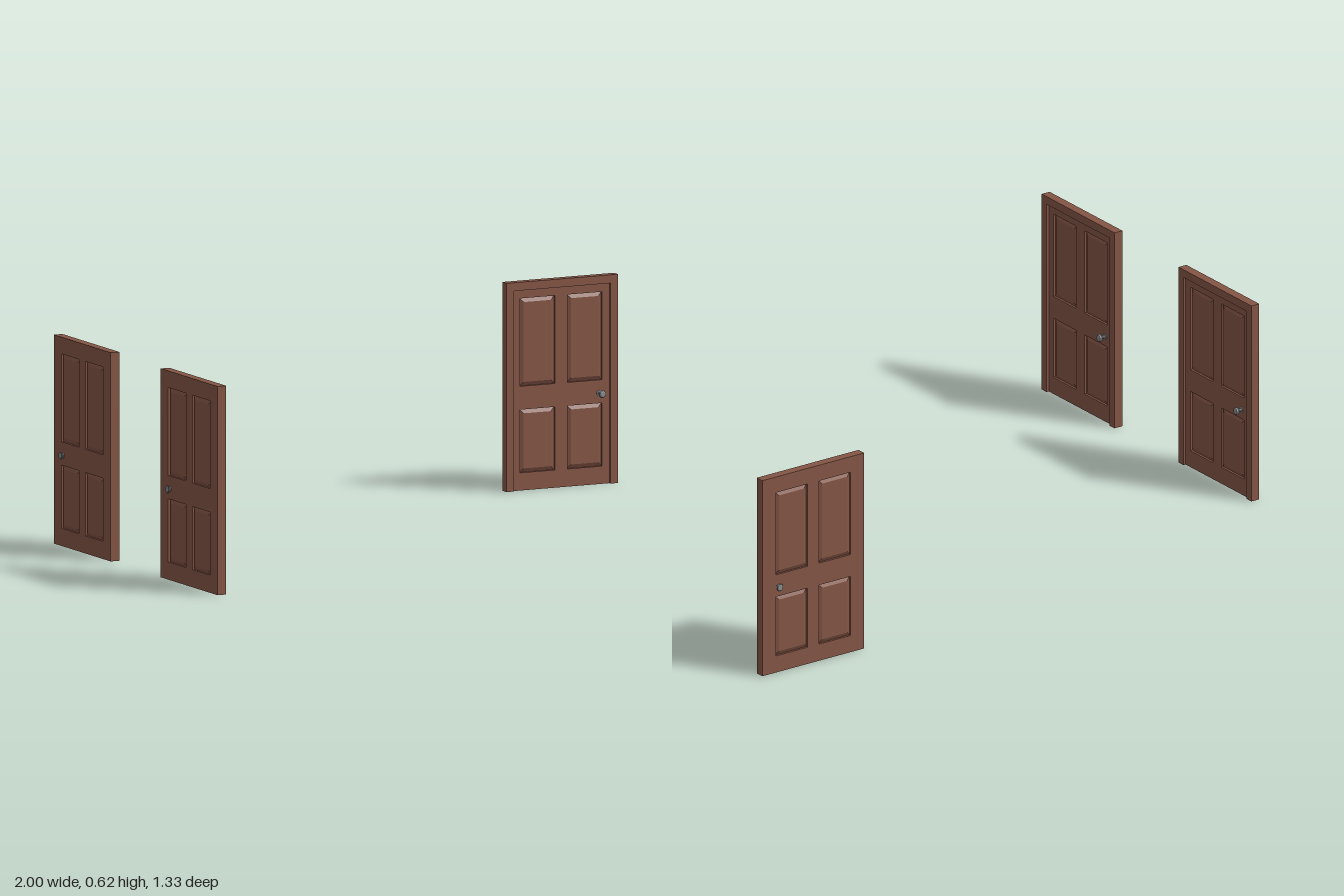
import * as THREE from 'three';

const wood = new THREE.MeshStandardMaterial({ color: 0x855646 });
wood.name = 'brown wood';
const metal = new THREE.MeshStandardMaterial({ color: 0x8a8f90, flatShading: true });
metal.name = 'grey metal';

// Door proportions, measured from the middle of the base
const W = 0.37, H = 0.625, T = 0.0285, RIM = 0.025;
const BACK = -T / 2, FRONT = T / 2;
const LEAF_FRONT = FRONT - 0.008;
const LEAF_T = LEAF_FRONT - BACK;

// Panel openings: x0, x1, y0, y1
const openings = [];
for (const [x0, x1] of [[-0.136, -0.021], [0.021, 0.136]]) {
  for (const [y0, y1] of [[0.053, 0.242], [0.312, 0.575]]) openings.push([x0, x1, y0, y1]);
}

function rect(Type, x0, x1, y0, y1) {
  return new Type([[x0, y0], [x1, y0], [x1, y1], [x0, y1]].map(([x, y]) => new THREE.Vector2(x, y)));
}

function add(group, name, geometry, material) {
  const mesh = new THREE.Mesh(geometry, material);
  mesh.name = name;
  group.add(mesh);
  return mesh;
}

// Turned knob pointing along +z, starting on the leaf surface
function knobGeometry(length) {
  const profile = [
    [0, 0], [0.009, 0], [0.009, 0.002], [0.005, 0.003], [0.005, length * 0.5],
    [0.01, length * 0.6], [0.012, length * 0.75], [0.01, length * 0.95], [0.007, length], [0, length],
  ].map(([r, y]) => new THREE.Vector2(r, y));
  return new THREE.LatheGeometry(profile, 10).rotateX(Math.PI / 2);
}

function createDoor(name) {
  const door = new THREE.Group();
  door.name = name;

  // Surround on three sides, open at the floor
  const surround = new THREE.Shape([
    [-W / 2, 0], [-W / 2 + RIM, 0], [-W / 2 + RIM, H - RIM], [W / 2 - RIM, H - RIM],
    [W / 2 - RIM, 0], [W / 2, 0], [W / 2, H], [-W / 2, H],
  ].map(([x, y]) => new THREE.Vector2(x, y)));
  const frameGeometry = new THREE.ExtrudeGeometry(surround, { depth: T, bevelEnabled: false });
  add(door, 'doorFrame', frameGeometry.translate(0, 0, BACK), wood);

  // Leaf with four openings, flush with the frame at the back
  const leaf = rect(THREE.Shape, -W / 2 + RIM, W / 2 - RIM, 0, H - RIM);
  for (const o of openings) leaf.holes.push(rect(THREE.Path, ...o));
  const leafGeometry = new THREE.ExtrudeGeometry(leaf, { depth: LEAF_T, bevelEnabled: false });
  add(door, 'doorLeaf', leafGeometry.translate(0, 0, BACK), wood);

  // Raised panels, bevelled on both faces
  const slope = 0.012, rise = 0.006, sink = 0.001;
  for (const [x0, x1, y0, y1] of openings) {
    const face = rect(THREE.Shape, x0 + slope, x1 - slope, y0 + slope, y1 - slope);
    const panel = new THREE.ExtrudeGeometry(face, {
      depth: LEAF_T - 2 * (rise + sink), bevelThickness: rise, bevelSize: slope, bevelSegments: 1,
    });
    add(door, 'raisedPanel', panel.translate(0, 0, BACK + sink + rise), wood);
  }

  // Knobs on both faces
  add(door, 'frontKnob', knobGeometry(0.026), metal).position.set(0.126, 0.272, LEAF_FRONT);
  const backKnob = add(door, 'backKnob', knobGeometry(0.01), metal);
  backKnob.position.set(0.126, 0.272, BACK);
  backKnob.rotation.y = Math.PI;
  return door;
}

export function createModel() {
  const model = new THREE.Group();
  model.name = 'doors';
  const places = [
    ['frontFacingDoor', 0.815, -0.6425, 0],
    ['sideDoorNear', -0.9755, 0.482, Math.PI / 2],
    ['sideDoorFar', -0.9755, -0.213, Math.PI / 2],
  ];
  for (const [name, x, z, turn] of places) {
    const door = createDoor(name);
    door.position.set(x, 0, z);
    door.rotation.y = turn;
    model.add(door);
  }
  return model;
}
